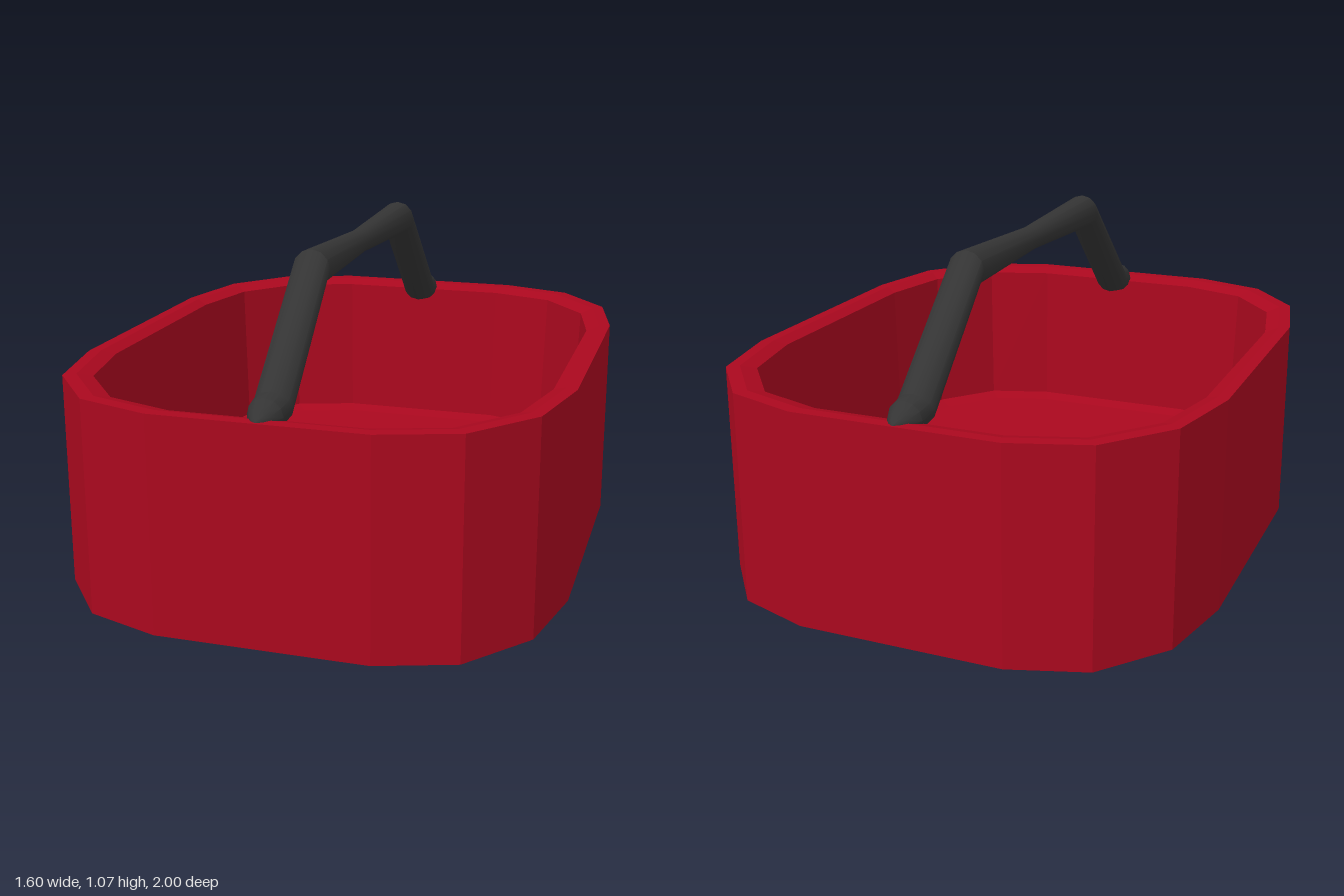
import * as THREE from 'three';
import { mergeVertices, toCreasedNormals } from 'three/addons/utils/BufferGeometryUtils.js';

// Skin a list of closed rings, each an array of [x, y, z] points
function loft(rings) {
  const pos = [];
  const n = rings[0].length;
  for (let i = 0; i < rings.length - 1; i++) {
    for (let k = 0; k < n; k++) {
      const a = rings[i][k], b = rings[i][(k + 1) % n];
      const c = rings[i + 1][k], d = rings[i + 1][(k + 1) % n];
      pos.push(...a, ...c, ...b, ...b, ...c, ...d);
    }
  }
  const geometry = new THREE.BufferGeometry();
  geometry.setAttribute('position', new THREE.Float32BufferAttribute(pos, 3));
  geometry.computeVertexNormals();
  return geometry;
}

export function createModel() {
  const group = new THREE.Group();
  const red = new THREE.MeshStandardMaterial({ color: 0xaa081e });
  red.name = 'red';
  const charcoal = new THREE.MeshStandardMaterial({ color: 0x343434 });
  charcoal.name = 'charcoal';

  // Sixteen-sided outline, mirrored from one quarter
  const quarter = [[0.8, 0.42], [0.74, 0.71], [0.57, 0.92], [0.33, 1]];
  const back = [...quarter].reverse();
  const outline = [
    ...quarter,
    ...back.map(([x, z]) => [-x, z]),
    ...quarter.map(([x, z]) => [-x, -z]),
    ...back.map(([x, z]) => [x, -z]),
  ];

  // Basket shell: underside, outer wall, bevelled rim, inner wall, slightly dished floor
  const profile = [
    [0, 0, 0], [1, 1, 0], [1, 1, 0.68], [0.955, 0.96, 0.68],
    [0.904, 0.907, 0.665], [0.882, 0.89, 0.161], [0.81, 0.83, 0.151], [0, 0, 0.15],
  ];
  const basket = new THREE.Mesh(
    loft(profile.map(([sx, sz, y]) => outline.map(([x, z]) => [x * sx, y, z * sz]))), red);
  basket.name = 'basket';
  group.add(basket);

  // Handle sections: centre z, centre y, half width, half height y, half height z
  const half = [
    [0.995, 0.678, 0, 0, 0], [0.98, 0.676, 0.02, 0.016, 0], [0.955, 0.675, 0.038, 0.032, 0],
    [0.915, 0.676, 0.055, 0.054, 0.005], [0.848, 0.686, 0.06, 0.049, 0.022],
    [0.5, 1.015, 0.059, 0.058, 0],
  ];
  const sections = [
    ...half,
    [0, 1.013, 0.04, 0.039, 0],
    ...[...half].reverse().map(([z, y, w, hy, hz]) => [-z, y, w, hy, -hz]),
  ];
  const sides = 12;
  const rings = sections.map(([z, y, w, hy, hz]) => Array.from({ length: sides }, (_, k) => {
    const t = (k / sides) * Math.PI * 2;
    return [Math.cos(t) * w, y + Math.sin(t) * hy, z + Math.sin(t) * hz];
  }));
  const tube = loft(rings);
  tube.deleteAttribute('normal');
  const handle = new THREE.Mesh(toCreasedNormals(mergeVertices(tube), 0.6), charcoal);
  handle.name = 'handle';
  group.add(handle);

  return group;
}
